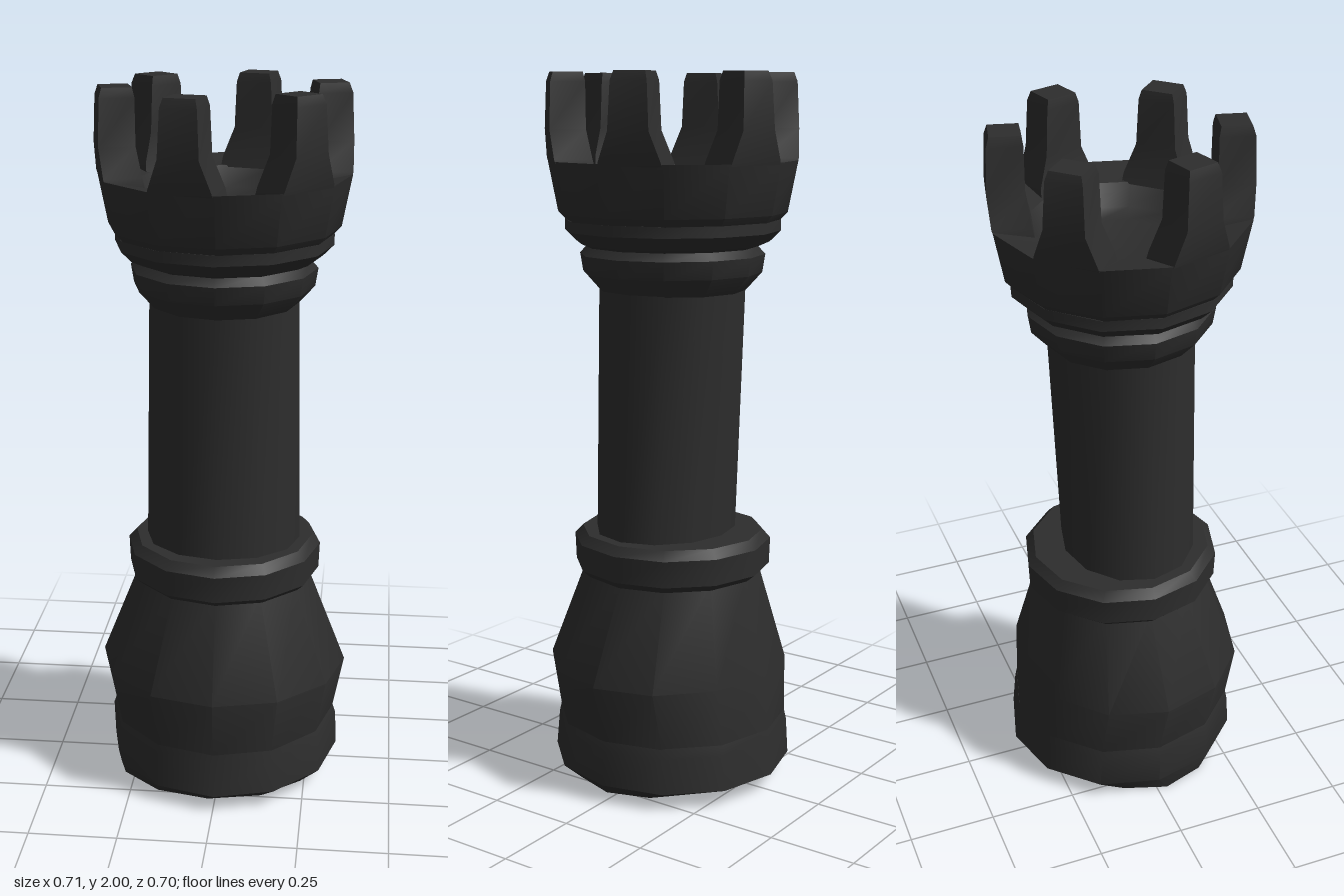
import * as THREE from 'three';
import { toCreasedNormals } from 'three/addons/utils/BufferGeometryUtils.js';

const rad = THREE.MathUtils.degToRad;
const polar = (r, deg, y) => [r * Math.cos(rad(deg)), y, r * Math.sin(rad(deg))];

// Joins closed rings of points, bottom to top, and caps both ends
function skin(rings, crease = 0.65) {
  const n = rings[0].length, pos = [], idx = [];
  rings.forEach(ring => ring.forEach(p => pos.push(...p)));
  for (let k = 0; k < rings.length - 1; k++) {
    for (let i = 0; i < n; i++) {
      const a = k * n + i, b = k * n + (i + 1) % n, c = b + n, d = a + n;
      idx.push(a, d, b, b, d, c);
    }
  }
  const cap = (k, top) => {
    const ring = rings[k], c = pos.length / 3;
    pos.push(...[0, 1, 2].map(j => ring.reduce((s, p) => s + p[j], 0) / n));
    for (let i = 0; i < n; i++) {
      const a = k * n + i, b = k * n + (i + 1) % n;
      if (top) idx.push(a, c, b); else idx.push(a, b, c);
    }
  };
  cap(0, false);
  cap(rings.length - 1, true);
  const g = new THREE.BufferGeometry();
  g.setAttribute('position', new THREE.Float32BufferAttribute(pos, 3));
  g.setIndex(idx);
  return toCreasedNormals(g, crease);
}

// Turned section: each row is y, x radius, z radius, x centre, z centre
function turned(rows, sides = 12) {
  return skin(rows.map(([y, rx, rz = rx, cx = 0, cz = 0]) =>
    Array.from({ length: sides }, (_, i) => {
      const [x, , z] = polar(1, i * 360 / sides, 0);
      return [cx + rx * x, y, cz + rz * z];
    })));
}

export function createModel() {
  const group = new THREE.Group();
  const black = new THREE.MeshStandardMaterial({ color: 0x2d2d2d });
  black.name = 'black';
  const add = (name, geometry) => {
    const mesh = new THREE.Mesh(geometry, black);
    mesh.name = name;
    group.add(mesh);
    return mesh;
  };

  // Foot, with a slightly off-centre underside
  add('foot', turned([
    [0, 0.3, 0.245, -0.02, 0.03],
    [0.05, 0.335, 0.345, 0.003, 0],
    [0.15, 0.335, 0.335],
    [0.18, 0.325, 0.33],
  ]));
  add('belly', turned([
    [0.17, 0.325, 0.33],
    [0.34, 0.357, 0.335, 0, 0.015],
    [0.62, 0.245, 0.25],
  ]));
  add('waistRing', turned([
    [0.605, 0.255],
    [0.625, 0.275, 0.28],
    [0.7, 0.278, 0.283],
    [0.725, 0.255, 0.26],
  ]));
  // Shaft leans in a little at the back of its lower end
  add('shaft', turned([
    [0.7, 0.22, 0.19, 0, 0.022],
    [1.43, 0.208, 0.203],
  ]));
  add('lowerCollar', turned([
    [1.41, 0.205],
    [1.46, 0.25],
    [1.51, 0.258],
    [1.535, 0.235],
  ]));
  add('upperCollar', turned([
    [1.525, 0.225],
    [1.545, 0.27],
    [1.575, 0.3],
    [1.605, 0.3],
  ]));

  // Crown: outer wall, sloping rim and shallow bowl
  const merlons = Array.from({ length: 6 }, (_, i) => -16 + i * 60);
  const corners = merlons.flatMap(a => [a - 15.5, a + 15.5]);
  const crownRows = [
    [1.59, 0.285], [1.625, 0.318], [1.765, 0.345],
    [1.745, 0.24], [1.69, 0.2], [1.67, 0.16],
  ];
  add('crown', skin(crownRows.map(([y, r]) => corners.map(a => polar(r, a, y)))));

  // Battlements: flared feet and straight upper blocks
  const block = (y, outer, inner, half) => [
    [outer, -half], [outer, half], [inner, half], [inner, -half],
  ].map(([r, w]) => [r, y, w]);
  const merlon = skin([
    block(1.74, 0.325, 0.225, 0.09),
    block(1.77, 0.335, 0.232, 0.086),
    block(1.85, 0.343, 0.245, 0.056),
    block(1.975, 0.338, 0.245, 0.05),
    block(2, 0.33, 0.25, 0.043),
  ]);
  merlons.forEach(a => {
    add('battlement', merlon).rotation.y = -rad(a);
  });
  return group;
}
